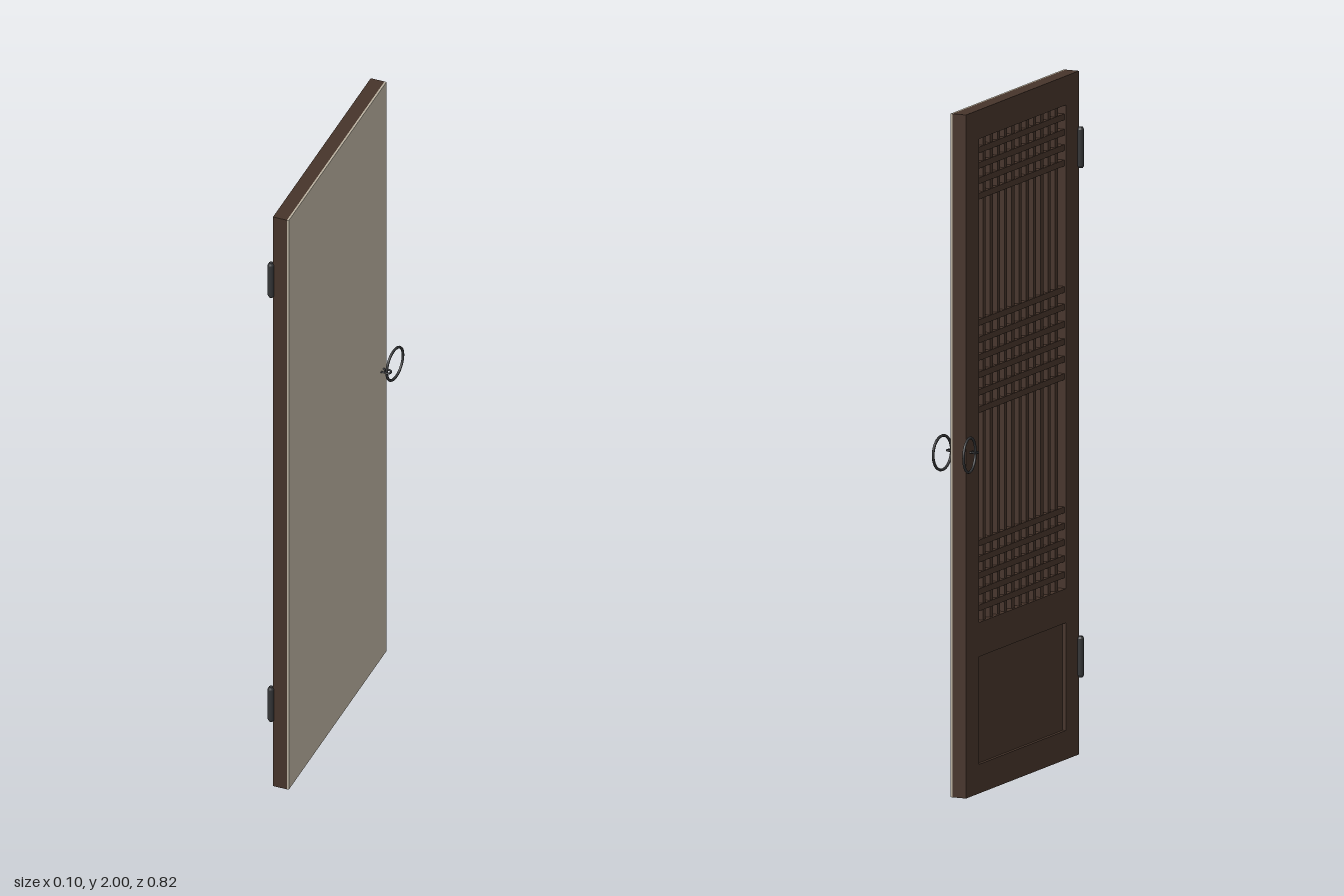
import * as THREE from 'three';

const wood = new THREE.MeshStandardMaterial({ color: 0x46342a });
wood.name = 'dark wood';
const paper = new THREE.MeshStandardMaterial({ color: 0xb9b09f });
paper.name = 'paper';
const iron = new THREE.MeshStandardMaterial({ color: 0x333436 });
iron.name = 'iron';

// Door extents: x is thickness, z is width
const X0 = -0.027, X1 = 0.016, Z0 = -0.345, Z1 = 0.402;
const STILE = 0.087, IN0 = Z0 + STILE, IN1 = Z1 - STILE;

function box(parent, name, mat, [x0, x1], [y0, y1], [z0, z1]) {
  const mesh = new THREE.Mesh(new THREE.BoxGeometry(x1 - x0, y1 - y0, z1 - z0), mat);
  mesh.position.set((x0 + x1) / 2, (y0 + y1) / 2, (z0 + z1) / 2);
  mesh.name = name;
  parent.add(mesh);
  return mesh;
}

function group(parent, name) {
  const g = new THREE.Group();
  g.name = name;
  parent.add(g);
  return g;
}

// Ring pull: forked staple, eye and a large swinging ring, built for side +1 or -1
function addHandle(parent, side) {
  const handle = group(parent, side > 0 ? 'leftHandle' : 'rightHandle');
  handle.position.set(0, 1.008, -0.312);

  const eye = new THREE.Mesh(new THREE.TorusGeometry(0.009, 0.003, 8, 20), iron);
  eye.rotation.x = Math.PI / 2;
  eye.position.x = side * 0.04;
  eye.name = 'eye';
  handle.add(eye);

  const face = side > 0 ? 0.02 : 0.025;
  for (const s of [-1, 1]) {
    const curve = new THREE.CatmullRomCurve3([
      new THREE.Vector3(side * face, 0, s * 0.009),
      new THREE.Vector3(side * 0.028, 0, s * 0.008),
      new THREE.Vector3(side * 0.034, 0, s * 0.006),
    ]);
    const prong = new THREE.Mesh(new THREE.TubeGeometry(curve, 6, 0.003, 6), iron);
    prong.name = 'prong';
    handle.add(prong);
  }

  const ring = new THREE.Mesh(new THREE.TorusGeometry(0.05, 0.004, 8, 40), iron);
  ring.rotation.y = Math.PI / 2 + side * -0.1;
  ring.position.set(side * 0.0435, 0, -0.044);
  ring.name = 'ring';
  handle.add(ring);
}

export function createModel() {
  const door = new THREE.Group();
  door.name = 'latticeDoor';

  // Paper backing covering the whole left face
  box(door, 'paperBacking', paper, [X1, 0.022], [0, 2], [Z0, Z1]);

  // Stiles and rails
  const frame = group(door, 'frame');
  box(frame, 'backStile', wood, [X0, X1], [0, 2], [Z0, IN0]);
  box(frame, 'frontStile', wood, [X0, X1], [0, 2], [IN1, Z1]);
  for (const [name, y0, y1] of [['bottomRail', 0, 0.085], ['middleRail', 0.4, 0.5], ['topRail', 1.915, 2]]) {
    box(frame, name, wood, [X0, X1], [y0, y1], [IN0, IN1]);
  }

  // Recessed solid panel at the bottom
  box(door, 'bottomPanel', wood, [X0 + 0.01, X1], [0.085, 0.4], [IN0, IN1]);

  // Lattice: upright bars with three bands of crossbars
  const lattice = group(door, 'lattice');
  const uprights = 11, pitch = (IN1 - IN0) / (uprights + 1), half = 0.009;
  for (let i = 1; i <= uprights; i++) {
    const z = IN0 + i * pitch;
    box(lattice, 'uprightBar', wood, [X0 + 0.007, X1], [0.5, 1.915], [z - half, z + half]);
  }
  for (const [start, end, count] of [[0.54, 0.73, 5], [1.12, 1.375, 6], [1.745, 1.88, 4]]) {
    for (let i = 0; i < count; i++) {
      const y = start + ((end - start) * i) / (count - 1);
      box(lattice, 'crossBar', wood, [X0 + 0.005, X1], [y - half, y + half], [IN0, IN1]);
    }
  }

  // Hinge barrels with tapered ends
  const profile = [[0, -0.06], [0.006, -0.06], [0.01, -0.053], [0.01, 0.053], [0.006, 0.06], [0, 0.06]]
    .map(([r, y]) => new THREE.Vector2(r, y));
  for (const [name, y] of [['lowerHinge', 0.287], ['upperHinge', 1.777]]) {
    const hinge = group(door, name);
    hinge.position.set(-0.033, y, 0.401);
    for (let i = 0; i < profile.length - 1; i++) {
      const part = new THREE.Mesh(new THREE.LatheGeometry([profile[i], profile[i + 1]], 20), iron);
      part.name = 'barrelSection';
      hinge.add(part);
    }
  }

  addHandle(door, 1);
  addHandle(door, -1);
  return door;
}
